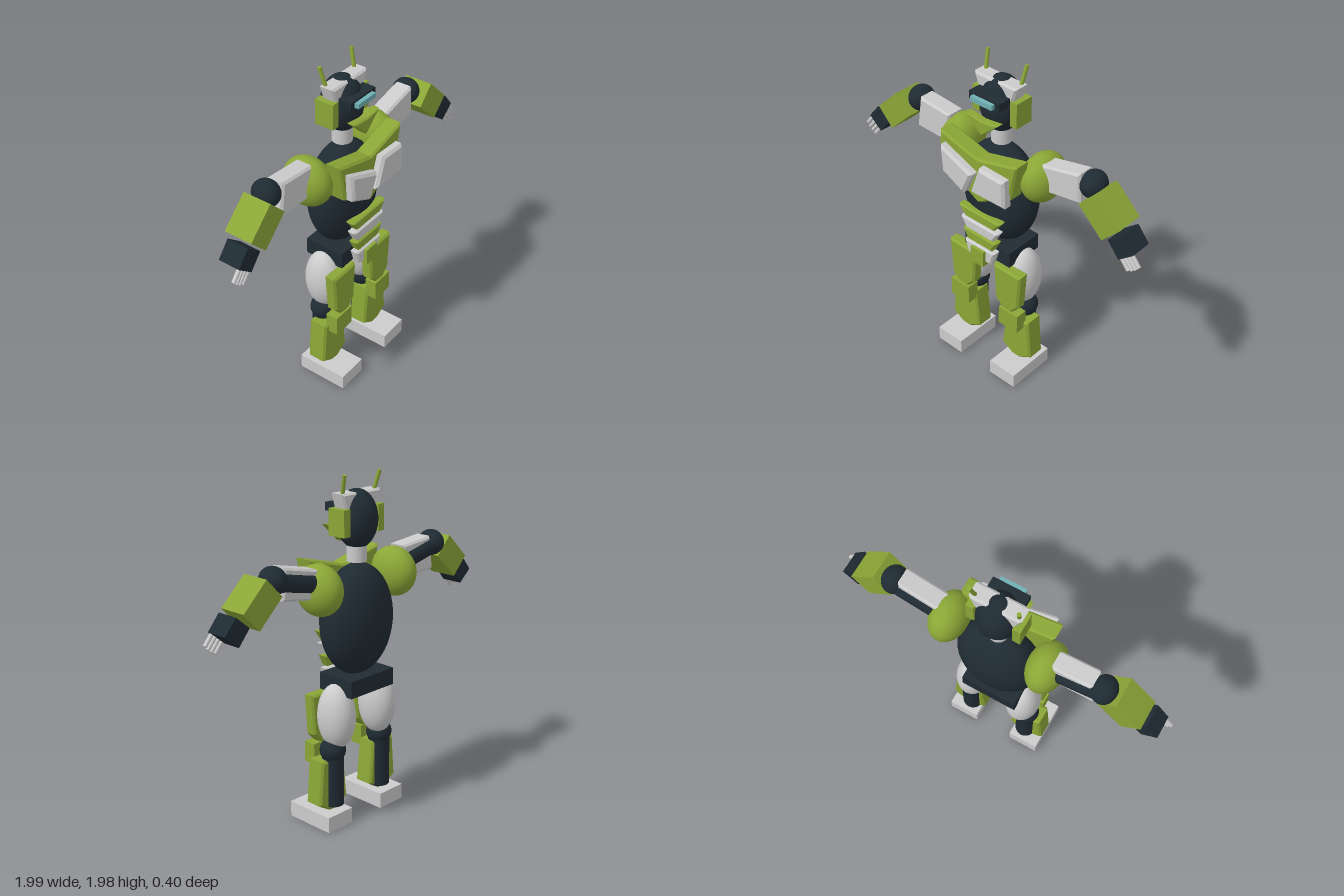
import * as THREE from 'three';

const mat = (color) => new THREE.MeshStandardMaterial({ color });

export function createModel() {
  const model = new THREE.Group();
  const green = mat(0x8aa636), dark = mat(0x1f2b33), grey = mat(0xcccccc), teal = mat(0x6fb0b3);

  const add = (name, geometry, material, x = 0, y = 0, z = 0) => {
    const mesh = new THREE.Mesh(geometry, material);
    mesh.name = name;
    mesh.position.set(x, y, z);
    model.add(mesh);
    return mesh;
  };
  const box = (name, m, x, y, z, w, h, d) => add(name, new THREE.BoxGeometry(w, h, d), m, x, y, z);
  const ellipsoid = (name, m, x, y, z, rx, ry, rz) =>
    add(name, new THREE.SphereGeometry(1, 40, 28).scale(rx, ry, rz), m, x, y, z);

  // Bevelled armour plate: an outline in x and y, spanning z0 to z1
  const plate = (name, m, points, z0, z1, bevel = 0.012) => {
    const shape = new THREE.Shape(points.map(([x, y]) => new THREE.Vector2(x, y)));
    const geometry = new THREE.ExtrudeGeometry(shape, {
      depth: z1 - z0 - 2 * bevel, bevelEnabled: true, bevelSegments: 1,
      bevelThickness: bevel, bevelSize: bevel, bevelOffset: -bevel,
    });
    return add(name, geometry, m, 0, 0, z0 + bevel);
  };
  const trapezoid = (top, bottom, y1, y0) => [[-top, y1], [-bottom, y0], [bottom, y0], [top, y1]];

  // Round rod between two points
  const rod = (name, m, from, to, r) => {
    const a = new THREE.Vector3(...from), b = new THREE.Vector3(...to);
    const mesh = add(name, new THREE.CylinderGeometry(r, r, a.distanceTo(b), 20), m);
    mesh.position.copy(a).lerp(b, 0.5);
    mesh.quaternion.setFromUnitVectors(new THREE.Vector3(0, 1, 0), b.sub(a).normalize());
    return mesh;
  };

  // Head
  ellipsoid('head', dark, 0, 1.73, -0.04, 0.115, 0.163, 0.116);
  add('neck', new THREE.CylinderGeometry(0.056, 0.056, 0.14, 32), grey, 0, 1.57, -0.04);
  plate('foreheadGuard', grey, trapezoid(0.147, 0.1, 1.88, 1.74), -0.08, 0.015);
  box('visor', dark, 0, 1.794, 0.045, 0.21, 0.045, 0.1);
  box('visorLens', teal, 0, 1.792, 0.085, 0.148, 0.028, 0.07);
  plate('mouthGuard', green, [[-0.112, 1.697], [0, 1.592], [0.112, 1.697], [0, 1.685]], 0.07, 0.12, 0.008);

  // Torso and pelvis
  ellipsoid('torso', dark, 0, 1.175, -0.04, 0.242, 0.315, 0.16);
  plate('chestPlate', green,
    [[0, 1.465], [-0.275, 1.535], [-0.23, 1.31], [0, 1.182], [0.23, 1.31], [0.275, 1.535]], 0.05, 0.152);
  plate('rightPectoral', grey, [[-0.23, 1.478], [-0.22, 1.315], [-0.065, 1.24], [0, 1.385]], 0.13, 0.2, 0.015);
  plate('leftPectoral', grey, [[0.048, 1.452], [-0.012, 1.275], [0.23, 1.275], [0.225, 1.445]], 0.13, 0.2, 0.015);
  const bands = [
    [green, 0.152, 0.105, 1.1, 1.036], [grey, 0.138, 0.097, 1.027, 0.957],
    [green, 0.124, 0.09, 0.952, 0.884], [grey, 0.112, 0.083, 0.875, 0.785],
  ];
  for (const [m, top, bottom, y1, y0] of bands) {
    plate('abdomenBand', m, trapezoid(top, bottom, y1, y0), 0.09, 0.145, 0.01);
  }
  box('pelvis', dark, 0, 0.826, -0.042, 0.338, 0.098, 0.245);
  box('pelvisGuard', green, 0, 0.815, 0.13, 0.095, 0.1, 0.07);

  // Upper arm plates
  plate('rightUpperArmPlate', grey, [[-0.56, 1.555], [-0.59, 1.36], [-0.37, 1.35], [-0.33, 1.535]], -0.09, 0.02);
  plate('leftUpperArmPlate', grey, [[0.325, 1.515], [0.34, 1.355], [0.585, 1.395], [0.572, 1.57]], -0.09, 0.02);

  for (const s of [-1, 1]) {
    const mirror = (points) => points.map(([x, y]) => [s * x, y]);

    // Head sides
    box('earGuard', green, s * 0.131, 1.727, -0.04, 0.046, 0.147, 0.115);
    rod('antenna', green, [s * 0.12, 1.865, -0.05], [s * 0.134, 1.98, -0.08], 0.011);

    // Arm
    ellipsoid('shoulder', green, s * 0.29, 1.393, -0.048, 0.106, 0.142, 0.147);
    rod('upperArm', dark, [s * 0.25, 1.42, -0.06], [s * 0.615, 1.5, -0.06], 0.055);
    ellipsoid('elbow', dark, s * 0.615, 1.505, -0.048, 0.07, 0.075, 0.08);
    box('forearm', green, s * 0.735, 1.413, -0.025, 0.213, 0.147, 0.17).rotation.z = -s * 0.76;

    // Hand, with its fingers along the palm side
    const angle = 0.87, ux = Math.cos(angle), uy = -Math.sin(angle);
    box('hand', dark, s * 0.876, 1.297, -0.01, 0.113, 0.112, 0.13).rotation.z = -s * angle;
    for (let i = 0; i < 4; i++) {
      const offset = (i - 1.5) * 0.026;
      const at = (t) => [s * (0.876 + ux * t - uy * offset), 1.297 + uy * t + ux * offset, 0.043];
      rod('finger', grey, at(0.05), at(i === 0 || i === 3 ? 0.127 : 0.132), 0.0115);
    }

    // Leg
    ellipsoid('thigh', grey, s * 0.165, 0.645, -0.045, 0.1, 0.19, 0.116);
    plate('thighPlate', green,
      mirror([[0.272, 0.767], [0.07, 0.767], [0.085, 0.53], [0.14, 0.475], [0.205, 0.475], [0.255, 0.53]]), 0.035, 0.107);
    ellipsoid('knee', dark, s * 0.19, 0.45, -0.04, 0.075, 0.075, 0.073);
    box('kneeGuard', green, s * 0.19, 0.417, 0.075, 0.14, 0.122, 0.075);
    rod('lowerLeg', dark, [s * 0.19, 0.46, -0.04], [s * 0.19, 0.12, -0.04], 0.063);
    plate('shinPlate', green,
      mirror([[0.29, 0.403], [0.12, 0.403], [0.095, 0.142], [0.175, 0.092], [0.23, 0.092], [0.312, 0.142]]), -0.062, 0.055);
    box('foot', grey, s * 0.213, 0.046, 0.033, 0.187, 0.092, 0.31);
  }

  return model;
}
